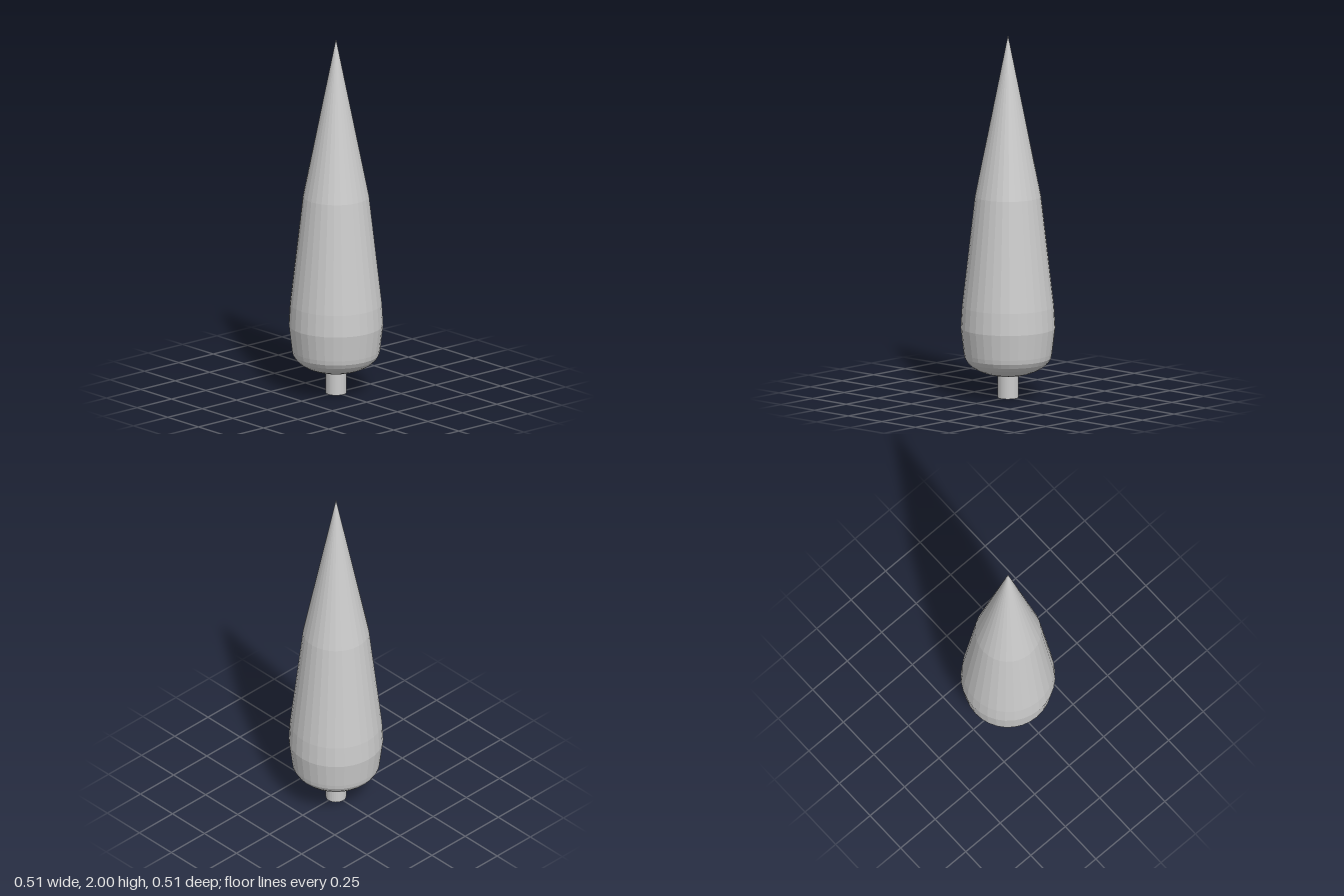
import * as THREE from 'three';

export function createModel() {
  const group = new THREE.Group();
  const material = new THREE.MeshStandardMaterial({ color: 0xcccccc, flatShading: true });
  const add = (name, geometry, y = 0) => {
    const mesh = new THREE.Mesh(geometry, material);
    mesh.name = name;
    mesh.position.y = y;
    group.add(mesh);
  };

  // Foliage: a squashed round underside, then a body tapering to a point
  const profile = [];
  const rings = 8, rimRadius = 0.24, rimY = 0.245, depth = 0.125;
  for (let i = 0; i <= rings; i++) {
    const a = (i / rings) * Math.PI / 2;
    profile.push(new THREE.Vector2(rimRadius * Math.sin(a), rimY - depth * Math.cos(a)));
  }
  for (const [r, y] of [[0.257, 0.385], [0.25, 0.505], [0.18, 1.11], [0, 2]]) {
    profile.push(new THREE.Vector2(r, y));
  }
  add('foliage', new THREE.LatheGeometry(profile, 32));

  // Trunk: short stem reaching just inside the foliage
  const trunkHeight = 0.14;
  add('trunk', new THREE.CylinderGeometry(0.056, 0.056, trunkHeight, 32), trunkHeight / 2);

  return group;
}
